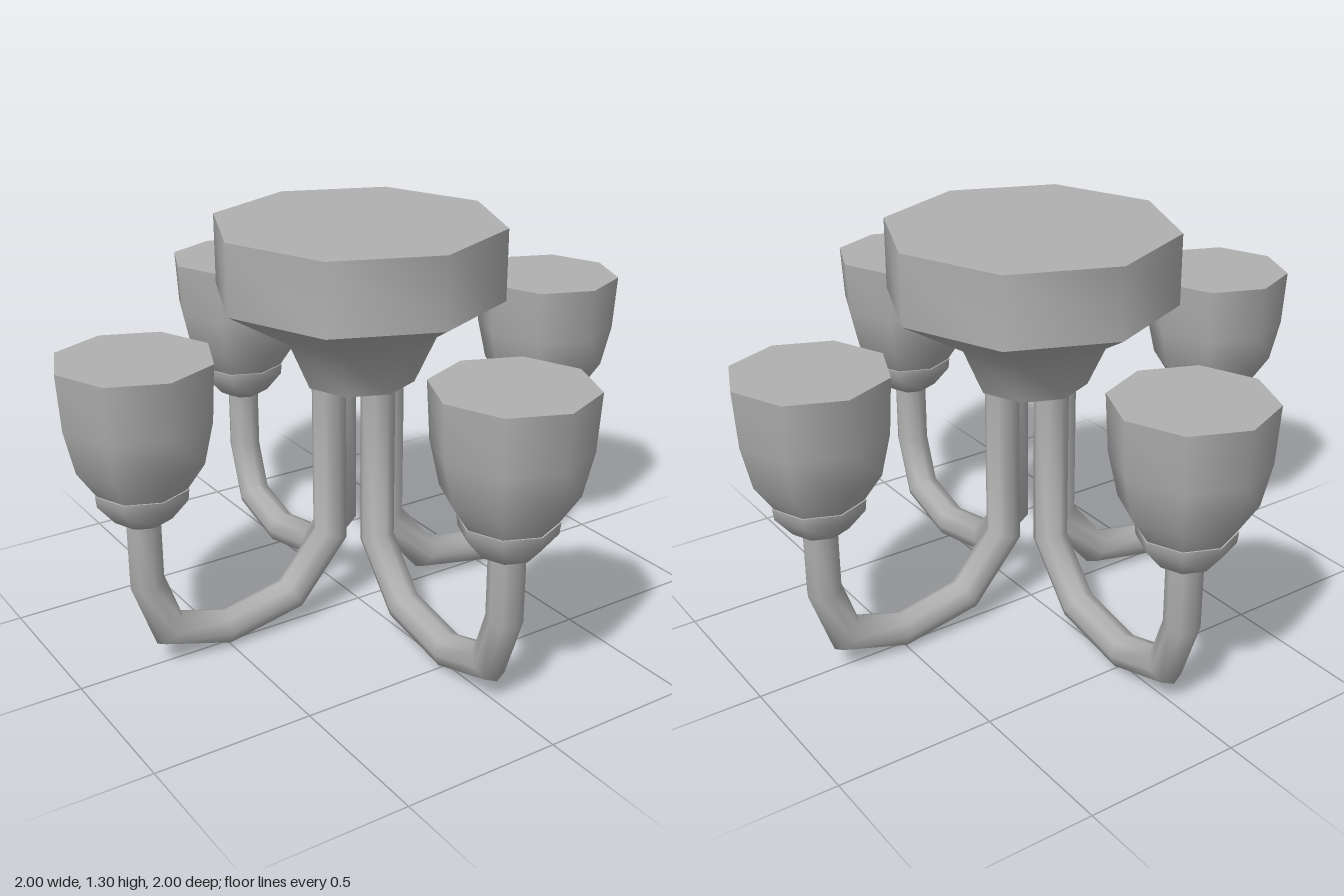
import * as THREE from 'three';
import { toCreasedNormals } from 'three/addons/utils/BufferGeometryUtils.js';

const SIDES = 8;
const PIPE_RADIUS = 0.055;

// Eight-sided turned part; profile runs from bottom to top as [radius, y]
function turned(profile) {
  const points = profile.map(([r, y]) => new THREE.Vector2(r, y));
  return toCreasedNormals(new THREE.LatheGeometry(points, SIDES), 0.9);
}

// Pipe with mitred bends along a path in the xy plane
function mitredPipe(path, radius) {
  const pts = path.map(([x, y]) => new THREE.Vector2(x, y));
  const positions = [];
  const index = [];
  pts.forEach((p, i) => {
    const before = p.clone().sub(pts[Math.max(i - 1, 0)]).normalize();
    const after = pts[Math.min(i + 1, pts.length - 1)].clone().sub(p).normalize();
    const t = before.clone().add(after).normalize();
    const stretch = 1 / t.dot(i === 0 ? after : before);
    for (let j = 0; j < SIDES; j++) {
      const a = (j / SIDES) * Math.PI * 2;
      const n = radius * Math.cos(a) * stretch;
      positions.push(p.x - t.y * n, p.y + t.x * n, radius * Math.sin(a));
      if (i < pts.length - 1) {
        const k = (j + 1) % SIDES;
        const row = i * SIDES;
        const next = row + SIDES;
        index.push(row + j, row + k, next + j, row + k, next + k, next + j);
      }
    }
  });
  const geometry = new THREE.BufferGeometry();
  geometry.setAttribute('position', new THREE.Float32BufferAttribute(positions, 3));
  geometry.setIndex(index);
  return toCreasedNormals(geometry, 1.1);
}

export function createModel() {
  const grey = new THREE.MeshStandardMaterial({ color: 0xb0b0b0 });
  grey.name = 'grey';
  const model = new THREE.Group();
  model.name = 'ceilingLamp';

  const add = (parent, name, geometry, x = 0) => {
    const mesh = new THREE.Mesh(geometry, grey);
    mesh.name = name;
    mesh.position.x = x;
    parent.add(mesh);
  };

  // Ceiling mount with tapered neck
  add(model, 'ceilingMount', turned([
    [0, 0.8], [0.18, 0.8], [0.25, 0.955], [0.457, 1.08], [0.457, 1.305], [0, 1.305],
  ]));

  // Shared geometry of the arms, holders and shades
  const pipe = mitredPipe([
    [0.11, 0.82], [0.11, 0.287], [0.265, 0.107], [0.505, 0.061],
    [0.7, 0.12], [0.763, 0.3], [0.763, 0.53],
  ], PIPE_RADIUS);
  const holder = turned([
    [0, 0.498], [0.05, 0.498], [0.09, 0.52], [0.143, 0.585], [0.147, 0.62], [0, 0.62],
  ]);
  const shade = turned([
    [0, 0.61], [0.135, 0.61], [0.198, 0.705], [0.228, 0.84], [0.238, 1.015], [0, 1.015],
  ]);

  // Four arms around the centre
  for (let i = 0; i < 4; i++) {
    const arm = new THREE.Group();
    arm.name = `arm${i + 1}`;
    arm.rotation.y = (i * Math.PI) / 2;
    add(arm, 'curvedPipe', pipe);
    add(arm, 'shadeHolder', holder, 0.762);
    add(arm, 'lampShade', shade, 0.762);
    model.add(arm);
  }
  return model;
}
